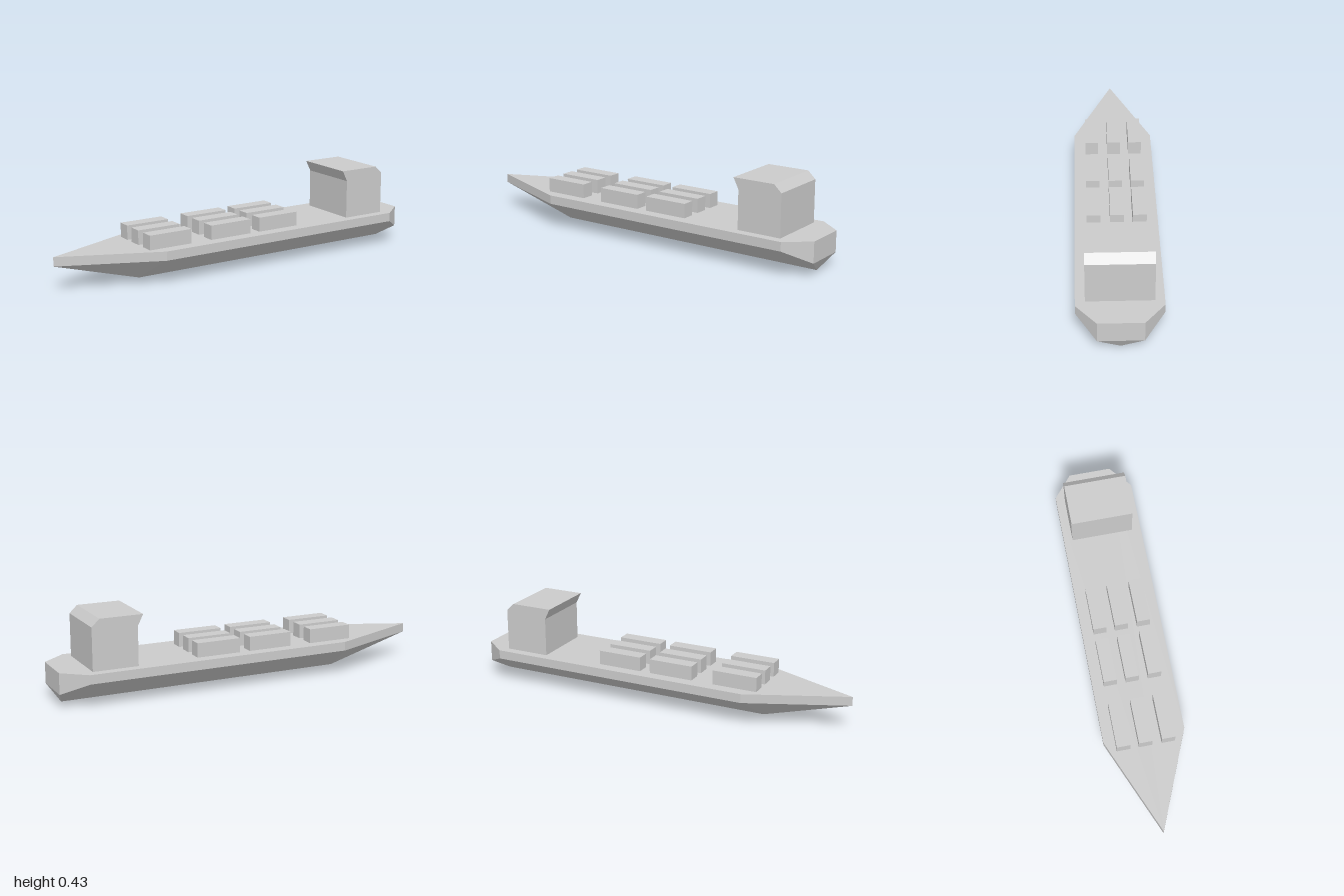
import * as THREE from 'three';
import { ConvexGeometry } from 'three/addons/geometries/ConvexGeometry.js';

const DECK = 0.176;

export function createModel() {
  const ship = new THREE.Group();
  ship.name = 'cargoShip';
  const grey = new THREE.MeshStandardMaterial({ color: 0xcccccc, flatShading: true });

  const add = (name, geometry, parent = ship) => {
    const mesh = new THREE.Mesh(geometry, grey);
    mesh.name = name;
    parent.add(mesh);
    return mesh;
  };

  // Hull: V-shaped bottom, pointed bow at -x, chamfered transom at +x
  const corners = [
    [-1, DECK, 0], [-1, 0.13, 0],      // bow
    [-0.545, 0, 0], [0.96, 0, 0],      // keel
  ];
  for (const s of [1, -1]) {
    corners.push(
      [-0.505, DECK, s * 0.207], [-0.505, 0.13, s * 0.207], // shoulder
      [0.88, DECK, s * 0.207], [0.88, 0.13, s * 0.207],     // quarter
      [1, DECK, s * 0.109], [1, 0.0685, s * 0.109],         // transom
    );
  }
  add('hull', new ConvexGeometry(corners.map((c) => new THREE.Vector3(...c))));

  // Bridge: side profile extruded across the beam, roof overhanging forward
  const profile = new THREE.Shape([
    [0.618, DECK], [0.85, DECK], [0.85, 0.392],
    [0.81, 0.43], [0.59, 0.43], [0.618, 0.374],
  ].map((p) => new THREE.Vector2(...p)));
  const depth = 0.322;
  const bridge = new THREE.ExtrudeGeometry(profile, { depth, bevelEnabled: false });
  bridge.translate(0, 0, -depth / 2);
  add('bridge', bridge);

  // Cargo containers: three bays of three rows
  const cargo = new THREE.Group();
  cargo.name = 'containers';
  ship.add(cargo);
  const height = 0.073;
  const box = new THREE.BoxGeometry(0.232, height, 0.068);
  for (const x of [-0.446, -0.1, 0.187]) {
    for (const z of [-0.115, -0.003, 0.113]) {
      add('container', box, cargo).position.set(x, DECK + height / 2, z);
    }
  }

  return ship;
}
